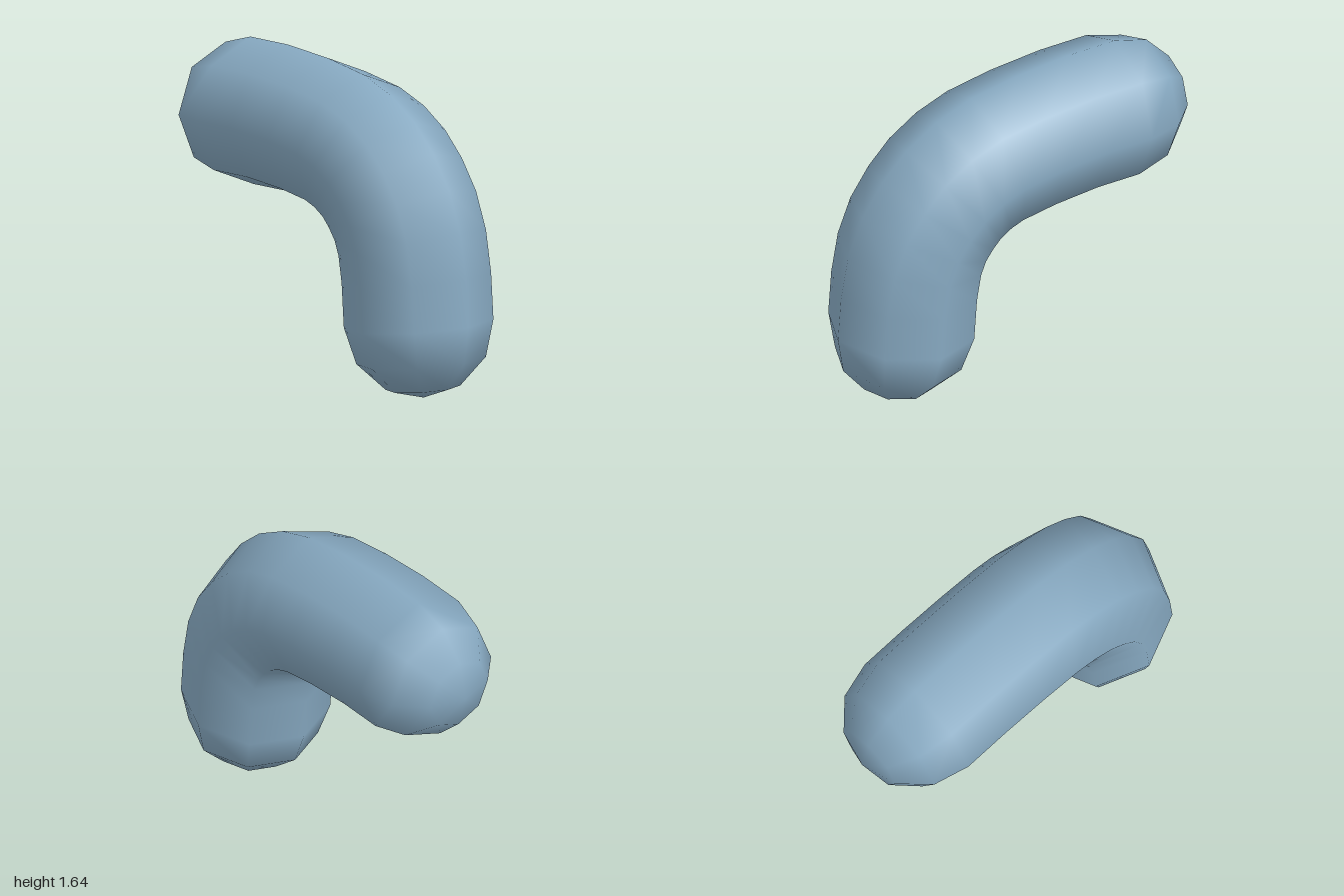
import * as THREE from 'three';

const RADIUS = 0.375;
const SIDES = 8;
const CAP_STEPS = 3;

// Centre line of the bent capsule, from the free end to the lower end
const PATH = [
  [-0.627, 1.265], [-0.37, 1.27], [-0.1, 1.252], [0.125, 1.218], [0.25, 1.173], [0.36, 1.105],
  [0.445, 1.02], [0.52, 0.915], [0.572, 0.785], [0.603, 0.61], [0.62, 0.38],
].map(([x, y]) => new THREE.Vector3(x, y, 0));
const START_DIR = new THREE.Vector3(1, 0.033, 0).normalize();
const END_DIR = new THREE.Vector3(0.1, -1, 0).normalize();

// Cross-sections: centre, direction, and angle of the surface normal toward the path (0 = straight out)
function crossSections() {
  const last = PATH.length - 1;
  const rings = [];
  for (let k = CAP_STEPS; k > 0; k--) {
    rings.push({ centre: PATH[0], dir: START_DIR, tilt: -(k / CAP_STEPS) * Math.PI / 2 });
  }
  PATH.forEach((centre, i) => {
    const dir = i === 0 ? START_DIR : i === last ? END_DIR
      : PATH[i + 1].clone().sub(PATH[i - 1]).normalize();
    rings.push({ centre, dir, tilt: 0 });
  });
  for (let k = 1; k <= CAP_STEPS; k++) {
    rings.push({ centre: PATH[last], dir: END_DIR, tilt: (k / CAP_STEPS) * Math.PI / 2 });
  }
  return rings;
}

function bentCapsuleGeometry() {
  const positions = [], normals = [], index = [];
  const rings = crossSections();
  rings.forEach(({ centre, dir, tilt }, i) => {
    const across = new THREE.Vector3(-dir.y, dir.x, 0);
    for (let j = 0; j <= SIDES; j++) {
      const a = (j / SIDES) * Math.PI * 2;
      const normal = across.clone().multiplyScalar(Math.cos(a));
      normal.z = Math.sin(a);
      normal.multiplyScalar(Math.cos(tilt)).addScaledVector(dir, Math.sin(tilt));
      normals.push(...normal.toArray());
      positions.push(...centre.clone().addScaledVector(normal, RADIUS).toArray());
      if (i < rings.length - 1 && j < SIDES) {
        const p = i * (SIDES + 1) + j;
        const q = p + SIDES + 1;
        // The poles need only one triangle per side
        if (i > 0) index.push(p, p + 1, q);
        if (i < rings.length - 2) index.push(p + 1, q + 1, q);
      }
    }
  });
  const geometry = new THREE.BufferGeometry();
  geometry.setAttribute('position', new THREE.Float32BufferAttribute(positions, 3));
  geometry.setAttribute('normal', new THREE.Float32BufferAttribute(normals, 3));
  geometry.setIndex(index);
  return geometry;
}

export function createModel() {
  const group = new THREE.Group();
  group.name = 'bentCapsule';
  const body = new THREE.Mesh(
    bentCapsuleGeometry(),
    new THREE.MeshStandardMaterial({ color: 0x86a8c0 }),
  );
  body.name = 'body';
  group.add(body);
  return group;
}
